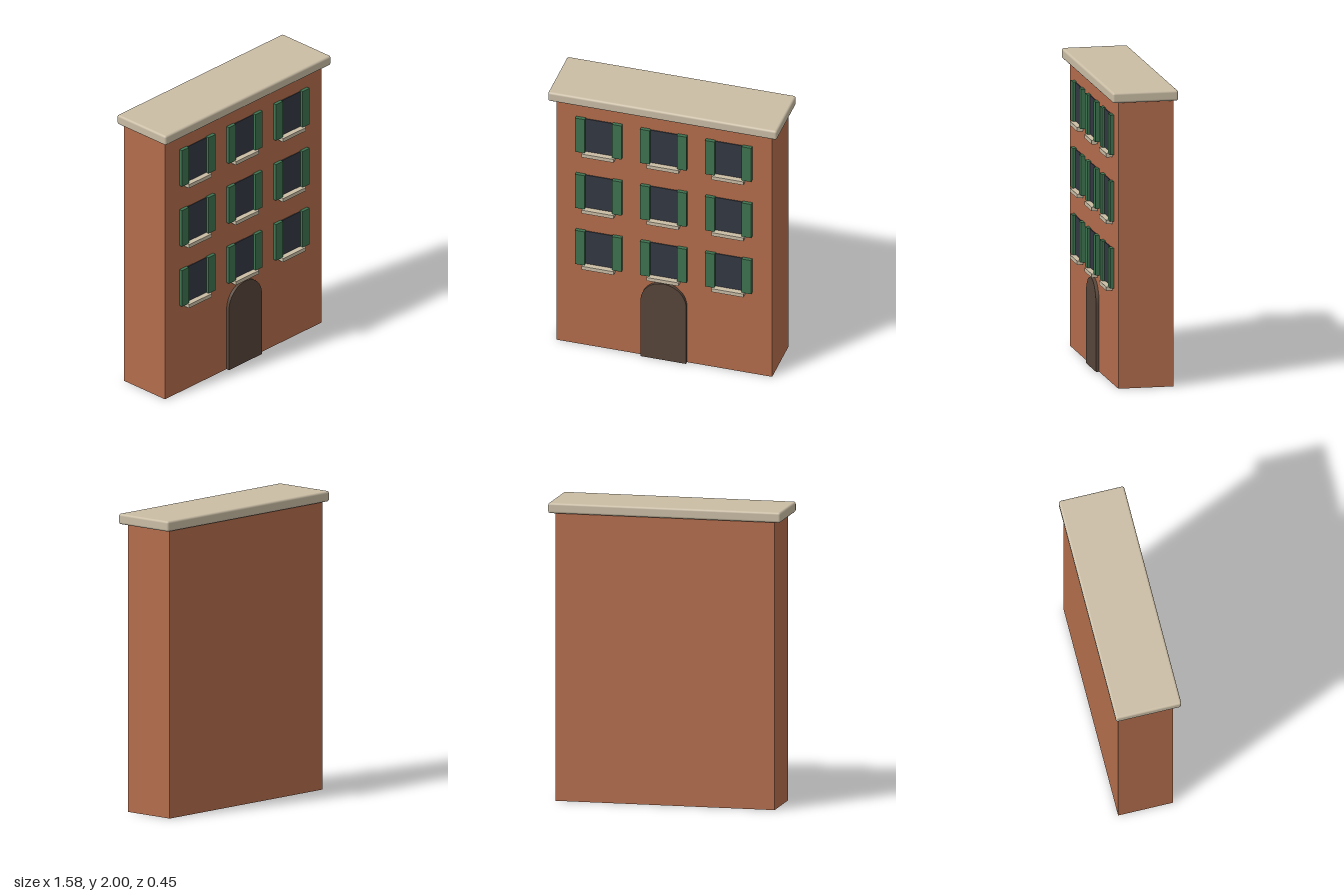
import * as THREE from 'three';
import { RoundedBoxGeometry } from 'three/addons/geometries/RoundedBoxGeometry.js';

export function createModel() {
  const house = new THREE.Group();
  house.name = 'townHouse';

  const material = (name, color) => {
    const m = new THREE.MeshStandardMaterial({ color });
    m.name = name;
    return m;
  };
  const brick = material('brick', 0xb36d4c);
  const stone = material('stone', 0xcabda5);
  const glass = material('darkGlass', 0x333842);
  const green = material('shutterGreen', 0x3e7350);
  const wood = material('darkWood', 0x57463a);

  const add = (parent, name, geometry, mat, x, y, z) => {
    const mesh = new THREE.Mesh(geometry, mat);
    mesh.name = name;
    mesh.position.set(x, y, z);
    parent.add(mesh);
    return mesh;
  };

  const front = 0.175; // z of the facade

  // Body and overhanging cornice
  add(house, 'walls', new THREE.BoxGeometry(1.49, 1.935, 0.373), brick, 0, 0.9675, front - 0.1865);
  add(house, 'cornice', new RoundedBoxGeometry(1.58, 0.07, 0.446, 3, 0.015), stone, 0, 1.965, 0);

  // Arched door
  const r = 0.157;
  const spring = 0.45;
  const arch = new THREE.Shape();
  arch.moveTo(-r, 0);
  arch.lineTo(r, 0);
  arch.lineTo(r, spring);
  arch.absarc(0, spring, r, 0, Math.PI, false);
  arch.closePath();
  const doorGeometry = new THREE.ExtrudeGeometry(arch, { depth: 0.027, bevelEnabled: false, curveSegments: 24 });
  add(house, 'door', doorGeometry, wood, 0, 0, front - 0.005);

  // Window grid: pane, two shutters and a sill each
  const paneGeometry = new THREE.BoxGeometry(0.188, 0.259, 0.009);
  const shutterGeometry = new THREE.BoxGeometry(0.066, 0.269, 0.03);
  const sillGeometry = new THREE.BoxGeometry(0.221, 0.026, 0.045);
  for (let row = 0; row < 3; row++) {
    for (let col = -1; col <= 1; col++) {
      const unit = new THREE.Group();
      unit.name = 'window';
      unit.position.set(col * 0.448, 0.783 + row * 0.449, front);
      add(unit, 'pane', paneGeometry, glass, 0, 0, 0.0015);
      for (const side of [-1, 1]) {
        add(unit, side > 0 ? 'leftShutter' : 'rightShutter', shutterGeometry, green, side * 0.127, 0.001, 0.01);
      }
      add(unit, 'sill', sillGeometry, stone, 0, -0.145, 0.0185);
      house.add(unit);
    }
  }
  return house;
}
